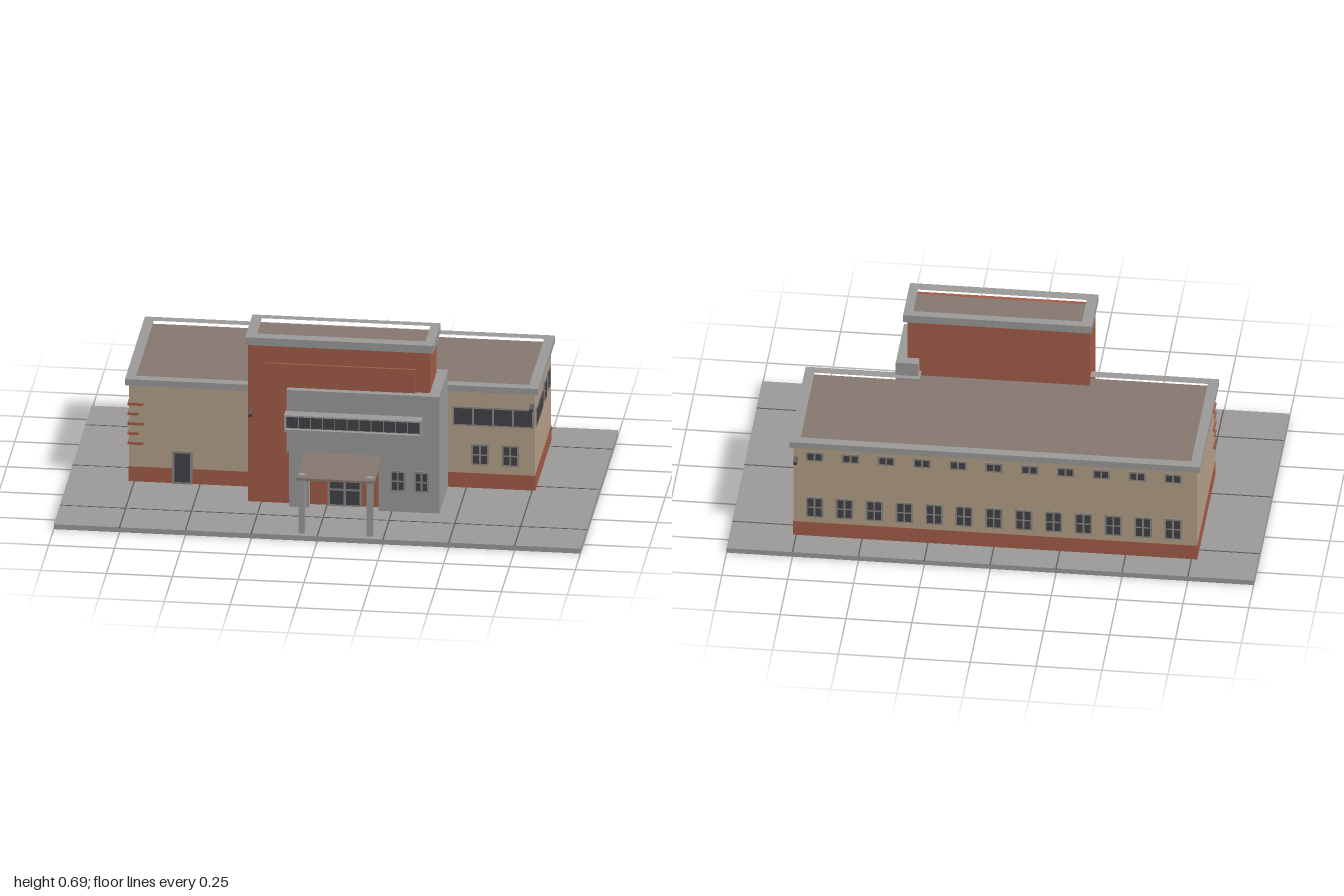
import * as THREE from 'three';

const mat = (name, color) => {
  const m = new THREE.MeshStandardMaterial({ color });
  m.name = name;
  return m;
};

export function createModel() {
  const concrete = mat('concrete', 0x9c9b9a);
  const joint = mat('paving joint', 0x5c5b5a);
  const plaster = mat('tan plaster', 0xb5a189);
  const brick = mat('brick', 0xa25c48);
  const roofing = mat('roofing', 0x857871);
  const glass = mat('dark glass', 0x434348);
  const frameMat = mat('window frame', 0x8b8880);
  const metal = mat('dark metal', 0x58585a);

  const model = new THREE.Group();
  model.name = 'civicBuilding';

  const add = (name, geo, material, parent = model) => {
    const mesh = new THREE.Mesh(geo, material);
    mesh.name = name;
    parent.add(mesh);
    return mesh;
  };
  // Box given by its limits on each axis
  const box = (name, material, x0, x1, y0, y1, z0, z1, parent = model) => {
    const mesh = add(name, new THREE.BoxGeometry(x1 - x0, y1 - y0, z1 - z0), material, parent);
    mesh.position.set((x0 + x1) / 2, (y0 + y1) / 2, (z0 + z1) / 2);
    return mesh;
  };
  // Vertical extrusion of a plan outline in x, z
  const plan = (pts) => pts.map(([x, z]) => new THREE.Vector2(x, -z));
  const slab = (name, material, pts, y0, y1, hole) => {
    const shape = new THREE.Shape(plan(pts));
    if (hole) shape.holes.push(new THREE.Path(plan(hole)));
    const geo = new THREE.ExtrudeGeometry(shape, { depth: y1 - y0, bevelEnabled: false });
    geo.rotateX(-Math.PI / 2);
    add(name, geo, material).position.y = y0;
  };
  // Framed opening with a grid of panes, facing +z before turning
  const opening = (name, w, h, cols, rows, x, y, z, turn = 0, bar = 0.007) => {
    const g = new THREE.Group();
    g.name = name;
    box('frame', frameMat, -w / 2, w / 2, -h / 2, h / 2, -0.004, 0.005, g);
    const pw = (w - bar * (cols + 1)) / cols;
    const ph = (h - bar * (rows + 1)) / rows;
    for (let i = 0; i < cols; i++) {
      for (let j = 0; j < rows; j++) {
        const px = -w / 2 + bar + i * (pw + bar);
        const py = -h / 2 + bar + j * (ph + bar);
        box('pane', glass, px, px + pw, py, py + ph, 0.003, 0.007, g);
      }
    }
    g.position.set(x, y, z);
    g.rotation.y = turn;
    model.add(g);
    return g;
  };

  // Paved ground
  box('ground', concrete, -1, 1, 0, 0.02, -0.59, 0.59);
  for (let i = -3; i <= 3; i++) {
    box('pavingJoint', joint, i * 0.25 - 0.0025, i * 0.25 + 0.0025, 0.018, 0.0208, -0.59, 0.59);
  }
  for (const z of [-0.4, 0, 0.4]) {
    box('pavingJoint', joint, -1, 1, 0.018, 0.0208, z - 0.003, z + 0.003);
  }

  // Main block: L-shaped plan, brick plinth, plaster walls, roof and parapet
  const outline = (o) => [
    [-0.77 - o, -0.465 - o], [0.76 + o, -0.465 - o], [0.76 + o, 0.04 + o],
    [0.36 + o, 0.04 + o], [0.36 + o, 0.13 + o], [-0.77 - o, 0.13 + o],
  ];
  slab('plinth', brick, outline(0.002), 0.02, 0.08);
  slab('walls', plaster, outline(0), 0.08, 0.415);
  slab('roof', roofing, outline(-0.005), 0.414, 0.42);
  slab('parapet', concrete, outline(0.014), 0.415, 0.44, outline(-0.024));

  // Brick tower with raised panel and capped roof
  box('tower', brick, -0.3, 0.39, 0.02, 0.665, 0.075, 0.275);
  box('towerPanel', brick, -0.235, 0.335, 0.15, 0.59, 0.275, 0.284);
  box('towerRoof', roofing, -0.28, 0.38, 0.66, 0.67, 0.08, 0.25);
  const rect = (x0, x1, z0, z1) => [[x0, z0], [x1, z0], [x1, z1], [x0, z1]];
  slab('towerCap', concrete, rect(-0.31, 0.405, 0.06, 0.288), 0.662, 0.693,
    rect(-0.27, 0.37, 0.093, 0.245));

  // Concrete entrance block wrapped around the tower corner
  box('entranceCorner', concrete, 0.345, 0.43, 0.02, 0.495, 0.035, 0.31);
  box('entranceWall', concrete, 0.2, 0.346, 0.02, 0.495, 0.2, 0.31);
  box('entranceLintel', concrete, -0.15, 0.201, 0.24, 0.495, 0.25, 0.31);
  box('entrancePier', concrete, -0.14, -0.065, 0.02, 0.241, 0.25, 0.31);

  // Projecting window band: hood, sill, cheeks and glazing
  box('bandHood', concrete, -0.155, 0.367, 0.404, 0.41, 0.305, 0.355);
  box('bandSill', concrete, -0.155, 0.367, 0.34, 0.352, 0.305, 0.355);
  for (const x of [-0.155, 0.361]) {
    box('bandCheek', concrete, x, x + 0.006, 0.345, 0.408, 0.305, 0.355);
  }
  opening('bandWindow', 0.512, 0.054, 11, 1, 0.106, 0.378, 0.335, 0, 0.004);

  // Canopy on two posts
  box('canopy', roofing, -0.08, 0.215, 0.236, 0.245, 0.3, 0.568);
  for (const x of [-0.062, 0.197]) {
    box('canopyPost', concrete, x - 0.012, x + 0.012, 0.02, 0.257, 0.543, 0.567);
  }

  // Doors
  opening('mainDoor', 0.13, 0.138, 2, 2, 0.068, 0.088, 0.278, 0, 0.009);
  opening('sideDoor', 0.078, 0.135, 1, 1, -0.567, 0.087, 0.134, 0, 0.009);

  // Front windows
  for (const x of [0.273, 0.363]) opening('entranceWindow', 0.057, 0.083, 2, 2, x, 0.146, 0.31);
  for (const x of [0.552, 0.667]) opening('wingLowerWindow', 0.066, 0.086, 2, 2, x, 0.157, 0.04);
  opening('wingUpperWindow', 0.31, 0.078, 4, 1, 0.602, 0.312, 0.04);

  // Right side windows
  opening('sideWideWindow', 0.2, 0.078, 2, 1, 0.76, 0.31, -0.082, Math.PI / 2, 0.01);
  for (const z of [-0.264, -0.373]) {
    opening('sideWindow', 0.058, 0.08, 2, 2, 0.76, 0.31, z, Math.PI / 2);
  }

  // Back windows: tall lower row and small upper row
  for (let i = 0; i < 13; i++) {
    opening('backLowerWindow', 0.066, 0.09, 2, 2, 0.68 - i * 1.36 / 12, 0.15, -0.465, Math.PI);
  }
  for (let i = 0; i < 11; i++) {
    opening('backUpperWindow', 0.066, 0.04, 2, 1, 0.68 - i * 0.136, 0.375, -0.465, Math.PI);
  }

  // Brick courses wrapping the left front corner
  for (let i = 0; i < 5; i++) {
    const y = 0.175 + i * 0.04;
    const len = i % 2 ? 0.035 : 0.055;
    box('cornerCourse', brick, -0.775, -0.77 + len, y - 0.005, y + 0.005, 0.13 - len, 0.135);
  }

  // Security cameras on short brackets
  for (const [x, y, z, s] of [[0.75, 0.365, 0.04, 1], [0.75, 0.365, -0.465, -1], [-0.287, 0.39, 0.275, 1]]) {
    const g = new THREE.Group();
    g.name = 'securityCamera';
    box('bracket', metal, -0.003, 0.003, -0.012, -0.007, 0, 0.025, g);
    const body = box('body', metal, -0.007, 0.007, -0.006, 0.008, 0.01, 0.04, g);
    body.rotation.x = 0.35;
    g.position.set(x, y, z);
    if (s < 0) g.rotation.y = Math.PI;
    model.add(g);
  }

  return model;
}
